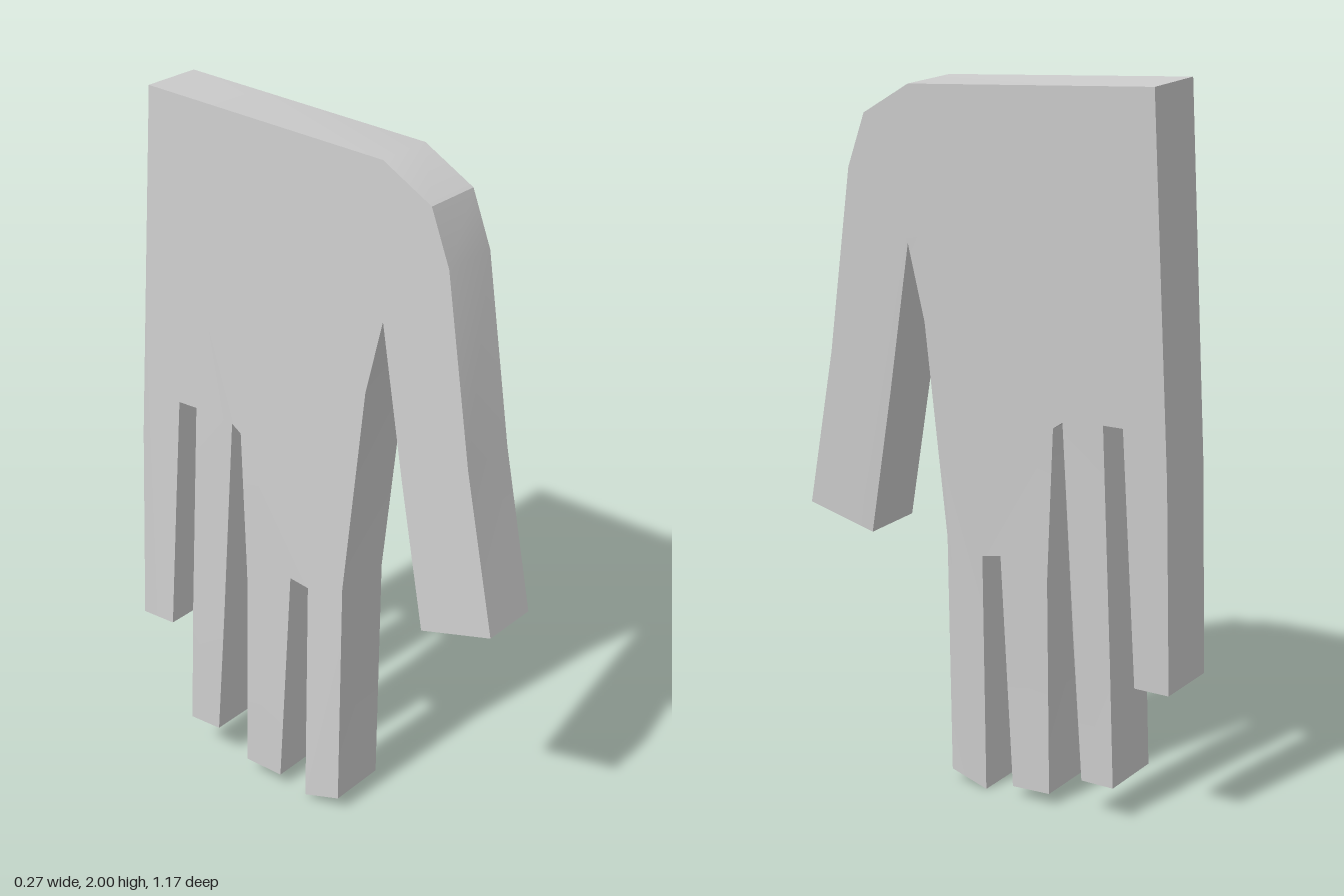
import * as THREE from 'three';
import { toCreasedNormals } from 'three/addons/utils/BufferGeometryUtils.js';

const THICKNESS = 0.185;

// Side outline of the hand as [z, y], hanging with the fingers down
const OUTLINE = [
  [-0.56, 1.99], [0.19, 1.955], [0.34, 1.87], [0.4, 1.72],             // wrist and thumb base
  [0.49, 1.2], [0.59, 0.745], [0.375, 0.69], [0.29, 1.11], [0.21, 1.53], // thumb
  [0.165, 1.32], [0.115, 0.72], [0.115, 0.035], [0, 0], [0, 0.685],     // index finger
  [-0.06, 0.695], [-0.09, 0.03], [-0.21, 0.035], [-0.21, 0.65],         // middle finger
  [-0.24, 1.08], [-0.27, 1.1], [-0.29, 0.5], [-0.315, 0.1],             // gap and ring finger
  [-0.415, 0.1], [-0.405, 0.45], [-0.395, 1.11],
  [-0.455, 1.11], [-0.465, 0.82], [-0.48, 0.4], [-0.585, 0.4], [-0.585, 0.98], // little finger
];

// Sideways position of the inner face at each height: [y, x]
const BEND = [[0, -0.135], [0.4, -0.13], [0.69, -0.117], [1.1, -0.096], [1.53, -0.073], [2, -0.05]];

function bendAt(y) {
  let i = 0;
  while (i < BEND.length - 2 && y > BEND[i + 1][0]) i++;
  const [y0, x0] = BEND[i], [y1, x1] = BEND[i + 1];
  return x0 + (x1 - x0) * (y - y0) / (y1 - y0);
}

export function createModel() {
  const skin = new THREE.MeshStandardMaterial({ color: 0xcccccc });
  skin.name = 'plain grey';

  // Flat slab turned so that its thickness runs along x
  const shape = new THREE.Shape(OUTLINE.map(([z, y]) => new THREE.Vector2(-z, y)));
  const slab = new THREE.ExtrudeGeometry(shape, { depth: THICKNESS, bevelEnabled: false });
  slab.rotateY(Math.PI / 2);

  // Lean the slab, curl the fingers slightly inward and tilt the thickness
  const pos = slab.attributes.position;
  for (let i = 0; i < pos.count; i++) {
    const x = pos.getX(i), y = pos.getY(i);
    pos.setX(i, x + bendAt(y));
    pos.setY(i, y + 0.01 * (1 - x / THICKNESS));
  }

  const hand = new THREE.Mesh(toCreasedNormals(slab, Math.PI / 6), skin);
  hand.name = 'hand';
  const model = new THREE.Group();
  model.name = 'openHand';
  model.add(hand);
  return model;
}
